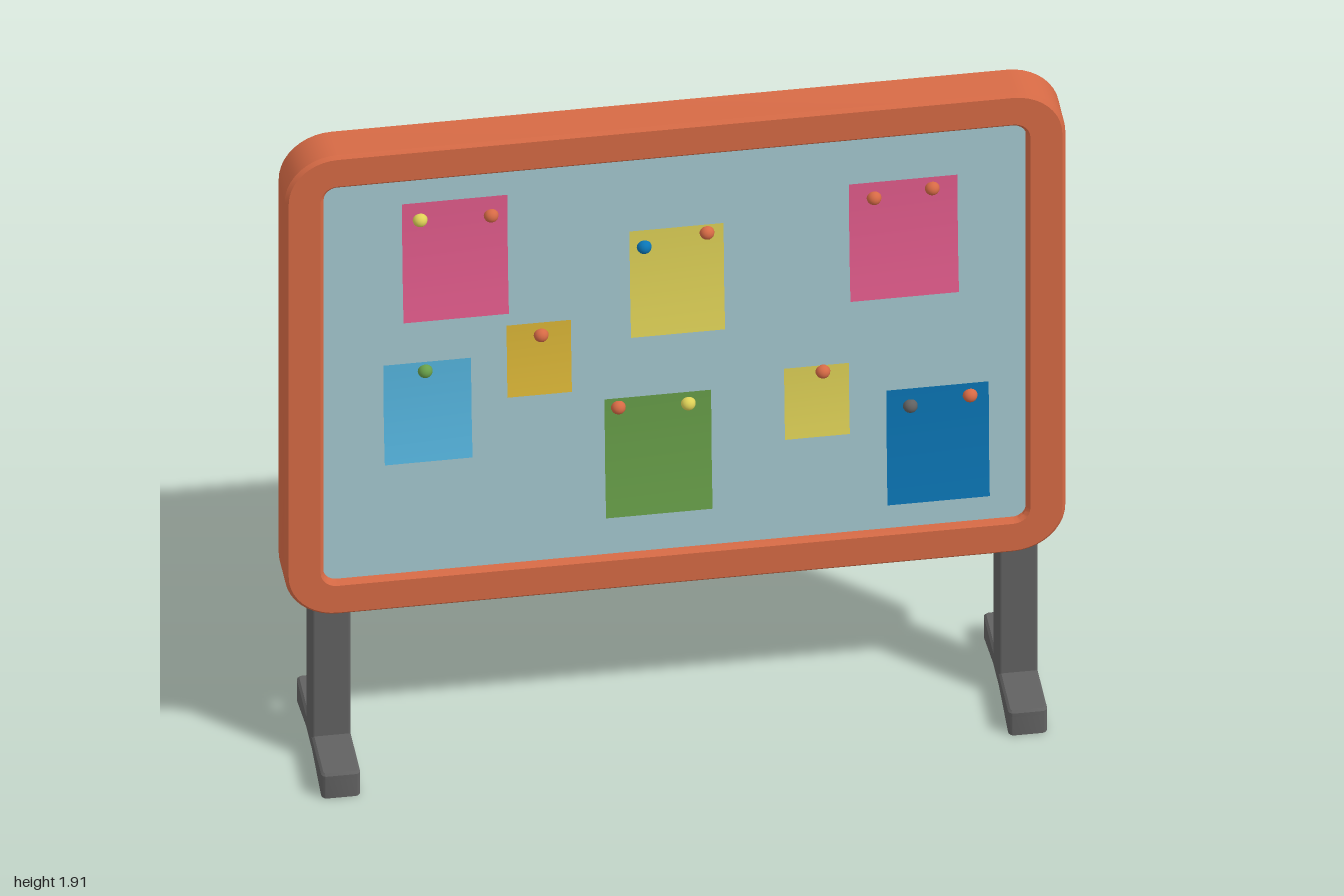
import * as THREE from 'three';
import { toCreasedNormals } from 'three/addons/utils/BufferGeometryUtils.js';
import { RoundedBoxGeometry } from 'three/addons/geometries/RoundedBoxGeometry.js';

const material = (name, color, side = THREE.FrontSide) => {
  const m = new THREE.MeshStandardMaterial({ color, side });
  m.name = name;
  return m;
};

const colours = {
  orange: material('frame orange', 0xd66a45),
  board: material('board pale blue', 0xa5cad2),
  grey: material('leg grey', 0x616161),
  pink: material('paper pink', 0xe25c8c, THREE.DoubleSide),
  yellow: material('paper yellow', 0xdfd257, THREE.DoubleSide),
  gold: material('paper gold', 0xddb838, THREE.DoubleSide),
  sky: material('paper sky blue', 0x56b6e0, THREE.DoubleSide),
  green: material('paper green', 0x689f49, THREE.DoubleSide),
  blue: material('paper deep blue', 0x0b76b6, THREE.DoubleSide),
};

function add(parent, name, geometry, mat, x = 0, y = 0, z = 0) {
  const mesh = new THREE.Mesh(geometry, mat);
  mesh.name = name;
  mesh.position.set(x, y, z);
  parent.add(mesh);
  return mesh;
}

// Rounded rectangle centred on the origin; breaks adds points along the long sides
function roundedRect(path, w, h, r, breaks = []) {
  const x = w / 2, y = h / 2;
  path.moveTo(x, -y + r);
  breaks.forEach((b) => path.lineTo(x, b));
  path.lineTo(x, y - r);
  path.absarc(x - r, y - r, r, 0, Math.PI / 2);
  path.absarc(-x + r, y - r, r, Math.PI / 2, Math.PI);
  [...breaks].reverse().forEach((b) => path.lineTo(-x, b));
  path.absarc(-x + r, -y + r, r, Math.PI, Math.PI * 1.5);
  path.absarc(x - r, -y + r, r, Math.PI * 1.5, Math.PI * 2);
  return path;
}

// Picture-frame border with bevelled edges
function frameGeometry() {
  const shape = roundedRect(new THREE.Shape(), 2, 1.45, 0.135);
  shape.holes.push(roundedRect(new THREE.Path(), 1.8, 1.245, 0.035));
  const bevel = 0.009, depth = 0.118;
  const geo = new THREE.ExtrudeGeometry(shape, {
    depth: depth - 2 * bevel, curveSegments: 5,
    bevelThickness: bevel, bevelSize: bevel, bevelOffset: -bevel, bevelSegments: 1,
  });
  geo.translate(0, 0, bevel - depth / 2);
  return toCreasedNormals(geo, 0.45);
}

// Foot wall with two hollow slots, its underside arched up in the middle
function footBaseGeometry() {
  const shape = roundedRect(new THREE.Shape(), 0.1, 0.43, 0.014, [-0.05, 0.05]);
  for (const s of [-1, 1]) {
    const slot = new THREE.Path();
    const a = 0.055 * s, b = 0.185 * s;
    slot.moveTo(-0.022, a);
    slot.lineTo(0.022, a);
    slot.lineTo(0.022, b);
    slot.lineTo(-0.022, b);
    slot.closePath();
    shape.holes.push(slot);
  }
  const geo = new THREE.ExtrudeGeometry(shape, { depth: 0.058, bevelEnabled: false, curveSegments: 3 });
  geo.rotateX(-Math.PI / 2);
  const p = geo.attributes.position;
  for (let i = 0; i < p.count; i++) {
    if (p.getY(i) < 0.01) {
      const t = (0.215 - Math.abs(p.getZ(i))) / 0.165;
      p.setY(i, 0.036 * Math.min(1, Math.max(0, t)));
    }
  }
  return toCreasedNormals(geo, 0.6);
}

// Closed top of the foot with a small bevel
function footCapGeometry() {
  const bevel = 0.006;
  const geo = new THREE.ExtrudeGeometry(roundedRect(new THREE.Shape(), 0.1, 0.43, 0.014), {
    depth: 0.011, curveSegments: 3,
    bevelThickness: bevel, bevelSize: bevel, bevelOffset: -bevel, bevelSegments: 1,
  });
  geo.rotateX(-Math.PI / 2);
  return toCreasedNormals(geo, 0.6);
}

// Sheet of paper curling forward toward its lower edge
function noteGeometry(w, h, lift) {
  const geo = new THREE.PlaneGeometry(w, h, 1, 10);
  const p = geo.attributes.position;
  for (let i = 0; i < p.count; i++) {
    const t = 0.5 - p.getY(i) / h;
    p.setZ(i, lift * t * t);
  }
  geo.computeVertexNormals();
  return geo;
}

// colour, left, right, top, bottom, curl
const notes = [
  ['pink', -0.698, -0.428, 1.727, 1.369, 0.025],
  ['yellow', -0.115, 0.126, 1.575, 1.257, 0.025],
  ['pink', 0.447, 0.725, 1.66, 1.307, 0.025],
  ['sky', -0.746, -0.521, 1.222, 0.925, 0.025],
  ['gold', -0.43, -0.265, 1.313, 1.096, 0.015],
  ['yellow', 0.281, 0.447, 1.096, 0.882, 0.015],
  ['green', -0.179, 0.094, 1.051, 0.693, 0.025],
  ['blue', 0.543, 0.805, 0.997, 0.647, 0.018],
];

// colour, x, y
const pins = [
  ['yellow', -0.652, 1.674], ['orange', -0.47, 1.668],
  ['blue', -0.078, 1.524], ['orange', 0.083, 1.551],
  ['orange', 0.511, 1.612], ['orange', 0.66, 1.626],
  ['green', -0.639, 1.195], ['orange', -0.342, 1.275],
  ['orange', 0.38, 1.078], ['orange', -0.144, 1.024],
  ['yellow', 0.035, 1.016], ['grey', 0.604, 0.944], ['orange', 0.757, 0.96],
];

export function createModel() {
  const model = new THREE.Group();
  model.name = 'noticeBoard';
  const boardFront = 0.04;

  add(model, 'frame', frameGeometry(), colours.orange, 0, 1.183, 0);
  add(model, 'board', new THREE.BoxGeometry(1.82, 1.265, boardFront * 2), colours.board, 0, 1.183, 0);

  // Legs
  const base = footBaseGeometry(), cap = footCapGeometry();
  const post = new RoundedBoxGeometry(0.1, 0.5, 0.1, 2, 0.008);
  for (const [side, s] of [['left', 1], ['right', -1]]) {
    const leg = new THREE.Group();
    leg.name = side + 'Leg';
    leg.position.x = 0.88 * s;
    add(leg, 'post', post, colours.grey, 0, 0.295, 0);
    add(leg, 'footBase', base, colours.grey);
    add(leg, 'footTop', cap, colours.grey, 0, 0.058, 0);
    model.add(leg);
  }

  // Pinned papers
  const papers = new THREE.Group();
  papers.name = 'notes';
  for (const [c, l, r, t, b, lift] of notes) {
    add(papers, c + 'Note', noteGeometry(r - l, t - b, lift), colours[c],
      (l + r) / 2, (t + b) / 2, boardFront + 0.002);
  }
  model.add(papers);

  // Round pin heads
  const pinGroup = new THREE.Group();
  pinGroup.name = 'pins';
  const head = new THREE.SphereGeometry(0.019, 16, 12);
  for (const [c, x, y] of pins) add(pinGroup, c + 'Pin', head, colours[c], x, y, boardFront + 0.003);
  model.add(pinGroup);

  return model;
}
